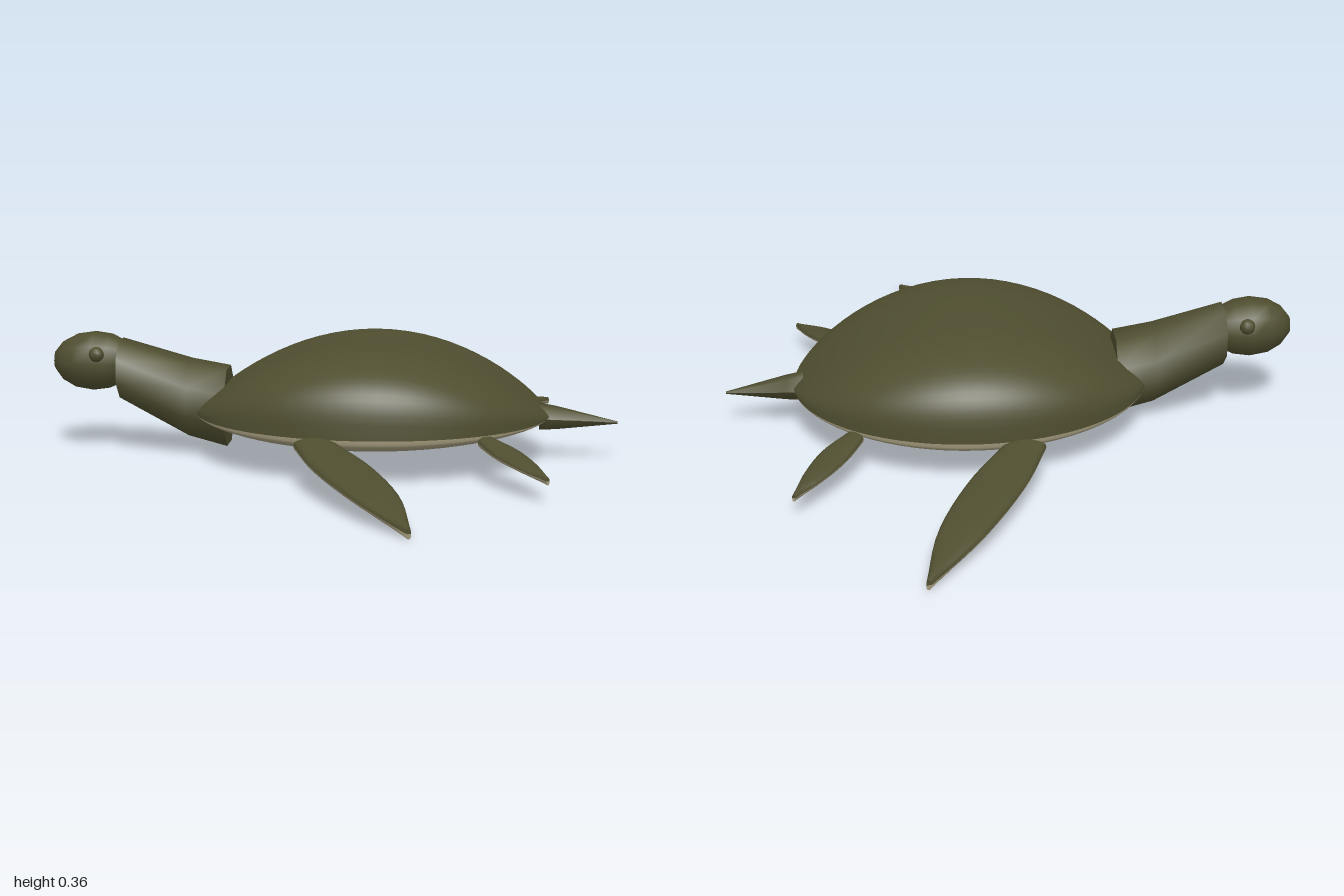
import * as THREE from 'three';
import { toCreasedNormals, mergeVertices } from 'three/addons/utils/BufferGeometryUtils.js';

const olive = new THREE.MeshStandardMaterial({ color: 0x4f4e30, side: THREE.DoubleSide });
olive.name = 'olive skin';
const cream = new THREE.MeshStandardMaterial({ color: 0xa39a7c, side: THREE.DoubleSide });
cream.name = 'pale underside';

// Skin a list of equal-length rings; the faces are turned to point outwards.
function loft(rings, closed, crease) {
  const n = rings[0].length;
  const points = rings.flat();
  const centre = new THREE.Vector3();
  points.forEach((p) => centre.addScaledVector(p, 1 / points.length));
  const index = [];
  for (let i = 0; i < rings.length - 1; i++) {
    for (let j = 0; j < (closed ? n : n - 1); j++) {
      const k = (j + 1) % n;
      const a = i * n + j, b = i * n + k, c = a + n, d = b + n;
      index.push(a, b, c, b, d, c);
    }
  }
  let volume = 0;
  const v = (i) => points[index[i]].clone().sub(centre);
  for (let i = 0; i < index.length; i += 3) volume += v(i).dot(v(i + 1).cross(v(i + 2)));
  if (volume < 0) index.reverse();
  const geo = new THREE.BufferGeometry().setFromPoints(points);
  geo.setIndex(index);
  if (crease) return toCreasedNormals(geo, crease);
  const welded = mergeVertices(geo, 1e-5);
  welded.computeVertexNormals();
  return welded;
}

// Close a loft by collapsing a copy of each end ring to its middle.
function capped(rings, middle) {
  const cap = (ring, p) => ring.map(() => p.clone());
  const last = rings.length - 1;
  return [cap(rings[0], middle(rings[0])), ...rings, cap(rings[last], middle(rings[last]))];
}

const average = (ring) => {
  const m = new THREE.Vector3();
  ring.forEach((p) => m.addScaledVector(p, 1 / ring.length));
  return m;
};
const edgeMiddle = (ring) => ring[0].clone().lerp(ring[ring.length - 1], 0.5);

function add(group, name, geometry, material) {
  const mesh = new THREE.Mesh(geometry, material);
  mesh.name = name;
  group.add(mesh);
  return mesh;
}

// Half dome: oval in plan, arched along x, boxy across z
function dome(height) {
  const rings = [];
  for (let i = 0; i <= 36; i++) {
    const t = (i / 36) * Math.PI;
    const s = Math.max(Math.sin(t), 0);
    const x = 0.115 - 0.525 * Math.cos(t);
    const ring = [];
    for (let j = 0; j <= 36; j++) {
      const a = (j / 36) * Math.PI;
      const c = Math.cos(a);
      const z = 0.44 * s * Math.sign(c) * Math.abs(c) ** 0.667;
      const y = 0.135 + height * s ** 1.8 * Math.max(Math.sin(a), 0) ** 0.667;
      ring.push(new THREE.Vector3(x, y, z));
    }
    rings.push(ring);
  }
  return loft(rings, false);
}

// Body of rings along x; each section is [x, centre y, half height, half width]
function limb(sections, sides, crease) {
  const k = 1 / Math.cos(Math.PI / sides);
  const rings = sections.map(([x, y, h, w]) =>
    Array.from({ length: sides }, (_, j) => {
      const a = ((j + 0.5) / sides) * Math.PI * 2;
      return new THREE.Vector3(x, y + k * h * Math.cos(a), k * w * Math.sin(a));
    }));
  return loft(capped(rings, average), true, crease);
}

// Leaf-shaped blade between a front and a rear edge, olive above and pale below
function flipper(name, side, front, rear, thickness) {
  const group = new THREE.Group();
  group.name = name;
  const curve = (pts) => new THREE.CatmullRomCurve3(
    pts.map(([x, y, z]) => new THREE.Vector3(x, y, z * side)));
  const f = curve(front), r = curve(rear);
  const half = (sign) => {
    const rings = [];
    for (let i = 0; i <= 14; i++) {
      const t = i / 14;
      const a = f.getPoint(t), b = r.getPoint(t);
      const ring = [];
      for (let j = 0; j <= 12; j++) {
        const q = (j / 12) * Math.PI;
        const p = a.clone().lerp(b, 0.5 - 0.5 * Math.cos(q));
        p.y += sign * thickness * (1 - 0.35 * t) * Math.max(Math.sin(q), 0) ** 0.7;
        ring.push(p);
      }
      rings.push(ring);
    }
    return loft(capped(rings, edgeMiddle), false, 0.9);
  };
  add(group, name + 'Top', half(1), olive);
  add(group, name + 'Underside', half(-1), cream);
  return group;
}

export function createModel() {
  const model = new THREE.Group();
  model.name = 'seaTurtle';

  add(model, 'shell', dome(0.225), olive);
  add(model, 'belly', dome(-0.058), cream);

  // Neck and head
  add(model, 'neck', limb([
    [-0.64, 0.255, 0.085, 0.09],
    [-0.43, 0.17, 0.11, 0.108],
    [-0.315, 0.145, 0.115, 0.11],
  ], 8, 0.95), olive);
  add(model, 'head', limb([
    [-0.84, 0.275, 0.025, 0.022],
    [-0.815, 0.275, 0.056, 0.05],
    [-0.775, 0.275, 0.077, 0.073],
    [-0.72, 0.275, 0.085, 0.083],
    [-0.67, 0.275, 0.078, 0.078],
    [-0.62, 0.275, 0.055, 0.055],
  ], 10, 1.1), olive);

  // Tail
  add(model, 'tail', limb([
    [0.61, 0.13, 0.036, 0.041],
    [0.66, 0.127, 0.031, 0.035],
    [0.84, 0.115, 0.003, 0.003],
  ], 6, 1.1), olive);

  for (const side of [1, -1]) {
    const label = side > 0 ? 'left' : 'right';

    const eye = add(model, label + 'Eye', new THREE.SphereGeometry(0.023, 10, 8), olive);
    eye.position.set(-0.7, 0.305, side * 0.076);

    model.add(flipper(label + 'FrontFlipper', side,
      [[-0.07, 0.118, 0.438], [0, 0.094, 0.61], [0.135, 0.06, 0.835], [0.28, 0.018, 0.995]],
      [[0.045, 0.118, 0.42], [0.16, 0.092, 0.59], [0.255, 0.058, 0.8], [0.295, 0.018, 0.998]],
      0.022));
    model.add(flipper(label + 'RearFlipper', side,
      [[0.44, 0.117, 0.348], [0.485, 0.1, 0.43], [0.555, 0.084, 0.52], [0.632, 0.067, 0.588]],
      [[0.485, 0.117, 0.315], [0.555, 0.1, 0.38], [0.605, 0.084, 0.475], [0.64, 0.067, 0.586]],
      0.017));
  }
  return model;
}
